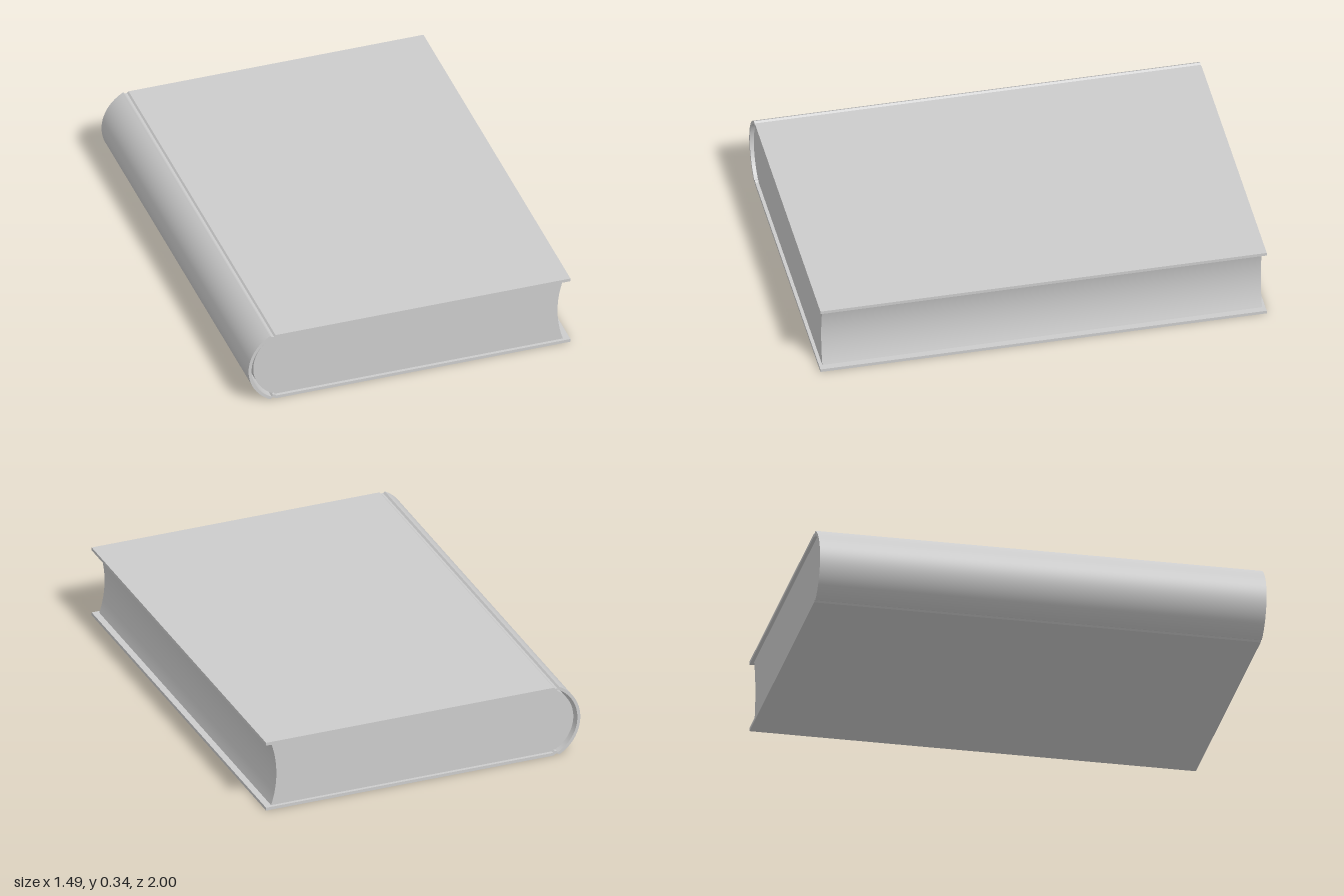
import * as THREE from 'three';
import { toCreasedNormals } from 'three/addons/utils/BufferGeometryUtils.js';

const MID = 0.1675; // half the height of the book

// Points of an arc, angles in degrees, y measured from the middle of the book
function arc(cx, r, from, to, steps) {
  return Array.from({ length: steps + 1 }, (_, i) => {
    const a = THREE.MathUtils.degToRad(from + ((to - from) * i) / steps);
    return [cx + r * Math.cos(a), r * Math.sin(a)];
  });
}

const mirrored = (pts) => pts.map(([x, y]) => [x, -y]).reverse();

// Extrude an outline along z, centred, keeping sharp edges and smooth curves
function slab(name, outline, depth) {
  const shape = new THREE.Shape(outline.map(([x, y]) => new THREE.Vector2(x, y + MID)));
  const extruded = new THREE.ExtrudeGeometry(shape, { depth, bevelEnabled: false });
  extruded.translate(0, 0, -depth / 2);
  const material = new THREE.MeshStandardMaterial({ color: 0xcccccc });
  const mesh = new THREE.Mesh(toCreasedNormals(extruded, Math.PI / 7), material);
  mesh.name = name;
  return mesh;
}

export function createModel() {
  const book = new THREE.Group();
  book.name = 'book';

  // Cover: two boards joined by hinge grooves to a rounded spine
  const outerTop = [[0.745, MID], [-0.62, MID], [-0.627, 0.1605], [-0.637, 0.1605]];
  const innerTop = [[0.745, 0.1535], [-0.616, 0.1535], [-0.624, 0.1465], [-0.632, 0.1465]];
  const outer = [...outerTop, ...arc(-0.555, 0.19, 118.2, 241.8, 32), ...mirrored(outerTop)];
  const inner = [...innerTop, ...arc(-0.555, 0.176, 118.2, 241.8, 32), ...mirrored(innerTop)];
  book.add(slab('cover', [...outer, ...inner.reverse()], 2));

  // Page block: rounded back and hollow fore edge
  const back = arc(-0.551, 0.167, 113.4, 246.6, 32);
  const foreEdge = arc(1.17, 0.48, 198.65, 161.35, 20);
  book.add(slab('pages', [...back, ...foreEdge], 1.97));

  return book;
}
